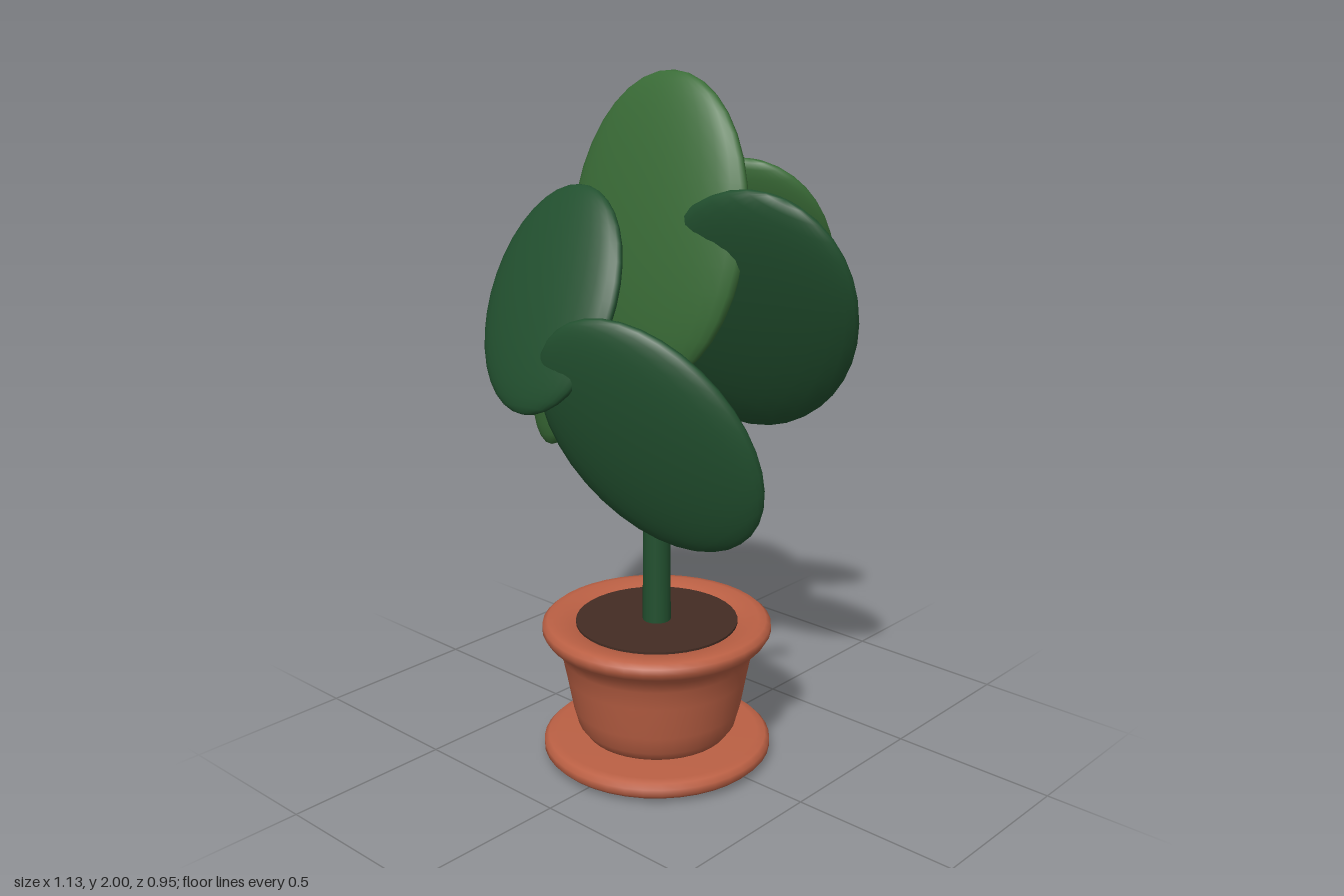
import * as THREE from 'three';

const mat = (name, color) => {
  const m = new THREE.MeshStandardMaterial({ color });
  m.name = name;
  return m;
};

export function createModel() {
  const terracotta = mat('terracotta', 0xbb6044);
  const soilBrown = mat('soil brown', 0x432c23);
  const darkGreen = mat('dark green', 0x22502f);
  const midGreen = mat('mid green', 0x3a6c37);
  const lightGreen = mat('light green', 0x458a42);

  const model = new THREE.Group();
  model.name = 'pottedPlant';
  const CX = -0.016, CZ = 0.04; // pot and stem axis

  const add = (name, geometry, material, x = 0, y = 0, z = 0) => {
    const mesh = new THREE.Mesh(geometry, material);
    mesh.name = name;
    mesh.position.set(x, y, z);
    model.add(mesh);
    return mesh;
  };
  const lathe = (points) =>
    new THREE.LatheGeometry(points.map(([r, y]) => new THREE.Vector2(r, y)), 40);

  // Saucer with a rounded edge
  add('saucer', lathe([
    [0, 0], [0.12, 0.004], [0.3, 0.01], [0.325, 0.015], [0.338, 0.028],
    [0.338, 0.048], [0.325, 0.061], [0.3, 0.065], [0, 0.065],
  ]), terracotta, CX, 0, CZ);

  // Pot with a flared, rolled rim
  add('pot', lathe([
    [0, 0.06], [0.18, 0.062], [0.213, 0.075], [0.235, 0.105], [0.25, 0.16],
    [0.268, 0.26], [0.28, 0.32], [0.3, 0.358], [0.325, 0.38], [0.337, 0.4],
    [0.336, 0.418], [0.322, 0.43], [0.3, 0.433], [0.26, 0.428], [0.23, 0.415],
  ]), terracotta, CX, 0, CZ);

  add('soil', new THREE.CylinderGeometry(0.238, 0.238, 0.04, 40), soilBrown, CX, 0.405, CZ);

  // Stem and branches
  add('stem', new THREE.CylinderGeometry(0.036, 0.042, 0.85, 20), darkGreen, CX, 0.825, CZ);
  const up = new THREE.Vector3(0, 1, 0);
  const branches = [
    [[-0.02, 0.87, 0.04], [-0.23, 1.06, 0.11]],
    [[0.0, 0.78, 0.035], [0.24, 0.955, -0.055]],
    [[-0.015, 1.03, 0.03], [0.0, 1.2, -0.15]],
    [[-0.015, 1.13, 0.04], [0.02, 1.335, 0.225]],
  ];
  for (const [a, b] of branches) {
    const start = new THREE.Vector3(...a);
    const dir = new THREE.Vector3(...b).sub(start);
    const mid = start.clone().addScaledVector(dir, 0.5);
    const geo = new THREE.CapsuleGeometry(0.02, dir.length() - 0.02, 4, 12);
    add('branch', geo, darkGreen, ...mid.toArray())
      .quaternion.setFromUnitVectors(up, dir.normalize());
  }

  // Leaves: flattened ellipsoids given by centre, long axis, face normal and half sizes
  const leaf = (name, material, centre, along, facing, [length, width, thick]) => {
    const y = new THREE.Vector3(...along).normalize();
    const x = y.clone().cross(new THREE.Vector3(...facing)).normalize();
    const z = x.clone().cross(y);
    const mesh = add(name, new THREE.SphereGeometry(1, 28, 18), material, ...centre);
    mesh.scale.set(width, length, thick);
    mesh.quaternion.setFromRotationMatrix(new THREE.Matrix4().makeBasis(x, y, z));
  };
  leaf('topLeaf', midGreen, [-0.018, 1.577, 0.037],
    [0, 0.985, -0.174], [0, 0.174, 0.985], [0.428, 0.315, 0.073]);
  leaf('upperLeftLeaf', darkGreen, [0.235, 1.36, -0.07],
    [0.476, 0.835, 0.275], [0.22, -0.44, 1], [0.41, 0.305, 0.069]);
  leaf('backLeaf', midGreen, [0.04, 1.47, -0.287],
    [0.318, 0.874, 0.374], [0.53, -0.58, 1], [0.335, 0.25, 0.06]);
  leaf('lowerBackLeaf', lightGreen, [-0.26, 0.97, -0.235],
    [0.72, 0.68, -0.13], [-0.03, 0.21, 1], [0.34, 0.262, 0.062]);
  leaf('rightLeaf', midGreen, [-0.315, 1.305, 0.07],
    [-0.13, 0.92, -0.37], [-0.57, 0.32, 1], [0.386, 0.28, 0.066]);
  leaf('frontLeaf', darkGreen, [-0.124, 1.415, 0.334],
    [-0.07, 0.9, -0.42], [-0.06, 0.46, 1], [0.32, 0.243, 0.056]);
  leaf('lowerFrontLeaf', darkGreen, [0.206, 1.087, 0.305],
    [-0.537, 0.76, 0.366], [0.3, -0.254, 1], [0.372, 0.27, 0.063]);

  return model;
}
